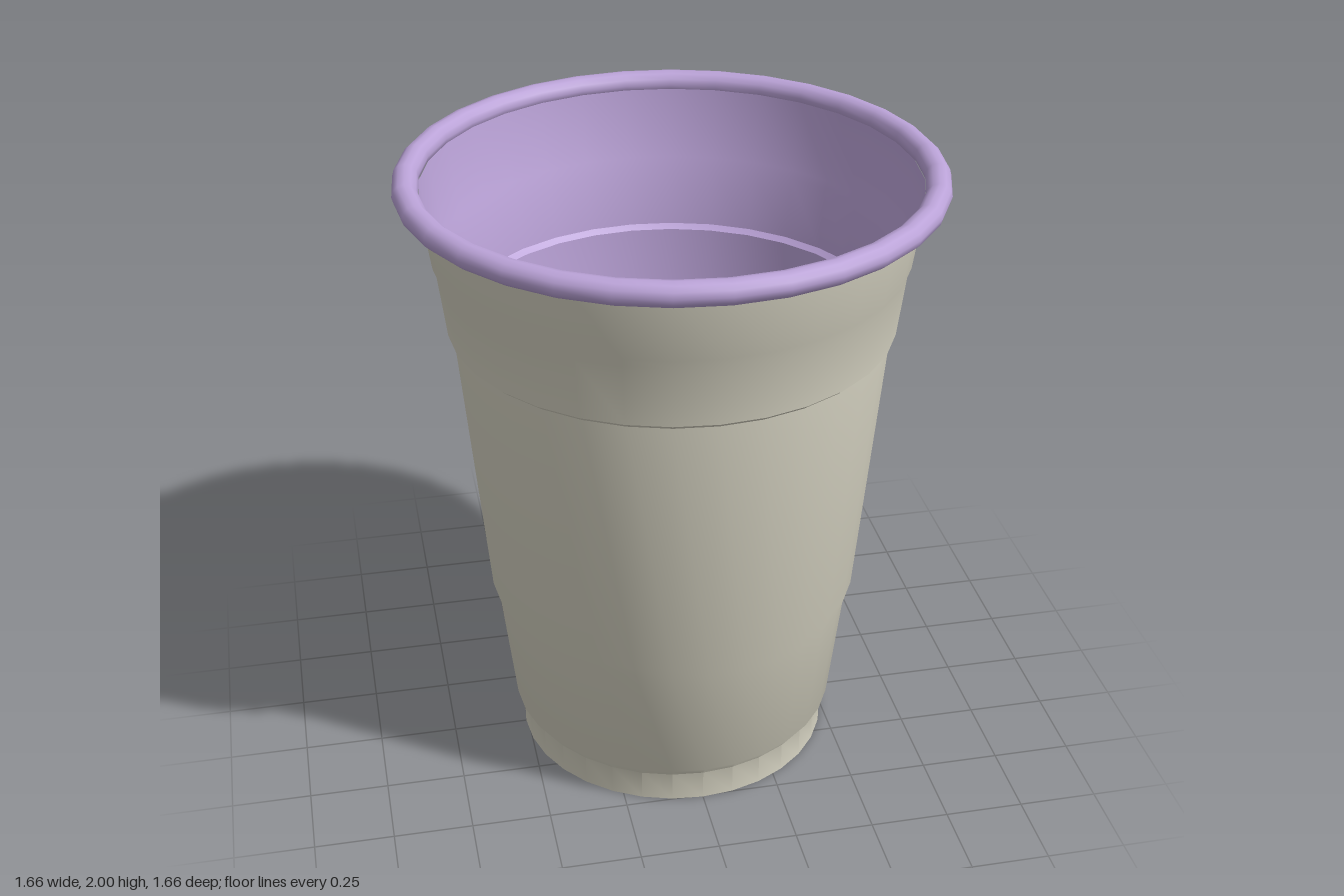
import * as THREE from 'three';
import { toCreasedNormals } from 'three/addons/utils/BufferGeometryUtils.js';

const SEGMENTS = 32;
const WALL = 0.006;
const FLOOR_Y = 0.01;

// Outer wall profile [radius, height], foot to lip, with its stacking steps
const PROFILE = [
  [0.508, 0], [0.508, 0.1], [0.53, 0.13], [0.575, 0.53], [0.594, 0.58],
  [0.673, 1.485], [0.69, 1.5], [0.714, 1.7], [0.724, 1.725], [0.757, 1.95],
];

function lathe(name, points, material) {
  const profile = points.map(([r, y]) => new THREE.Vector2(r, y));
  const geometry = toCreasedNormals(new THREE.LatheGeometry(profile, SEGMENTS), 0.65);
  const mesh = new THREE.Mesh(geometry, material);
  mesh.name = name;
  return mesh;
}

function disc(name, radius, y, facing, material) {
  const mesh = new THREE.Mesh(new THREE.CircleGeometry(radius, SEGMENTS), material);
  mesh.name = name;
  mesh.rotation.x = -facing * Math.PI / 2;
  mesh.position.y = y;
  return mesh;
}

export function createModel() {
  const cup = new THREE.Group();
  cup.name = 'cup';
  const beige = new THREE.MeshStandardMaterial({ color: 0xd8d5c4 });
  const lilac = new THREE.MeshStandardMaterial({ color: 0xbba3d8 });

  // Outer shell and underside
  cup.add(lathe('outerWall', PROFILE, beige));
  cup.add(disc('underside', PROFILE[0][0], 0, -1, beige));

  // Lining follows the shell from the lip down to the floor
  const lining = PROFILE.map(([r, y]) => [r - WALL, Math.max(y, FLOOR_Y)]).reverse();
  cup.add(lathe('innerWall', lining, lilac));
  cup.add(disc('innerFloor', PROFILE[0][0] - WALL, FLOOR_Y, 1, lilac));

  // Rolled rim
  const rim = [];
  for (let i = 0; i <= 12; i++) {
    const a = Math.PI + (i / 12) * Math.PI * 2;
    rim.push([0.79 + 0.039 * Math.cos(a), 1.963 + 0.037 * Math.sin(a)]);
  }
  cup.add(lathe('rolledRim', rim, lilac));

  return cup;
}
